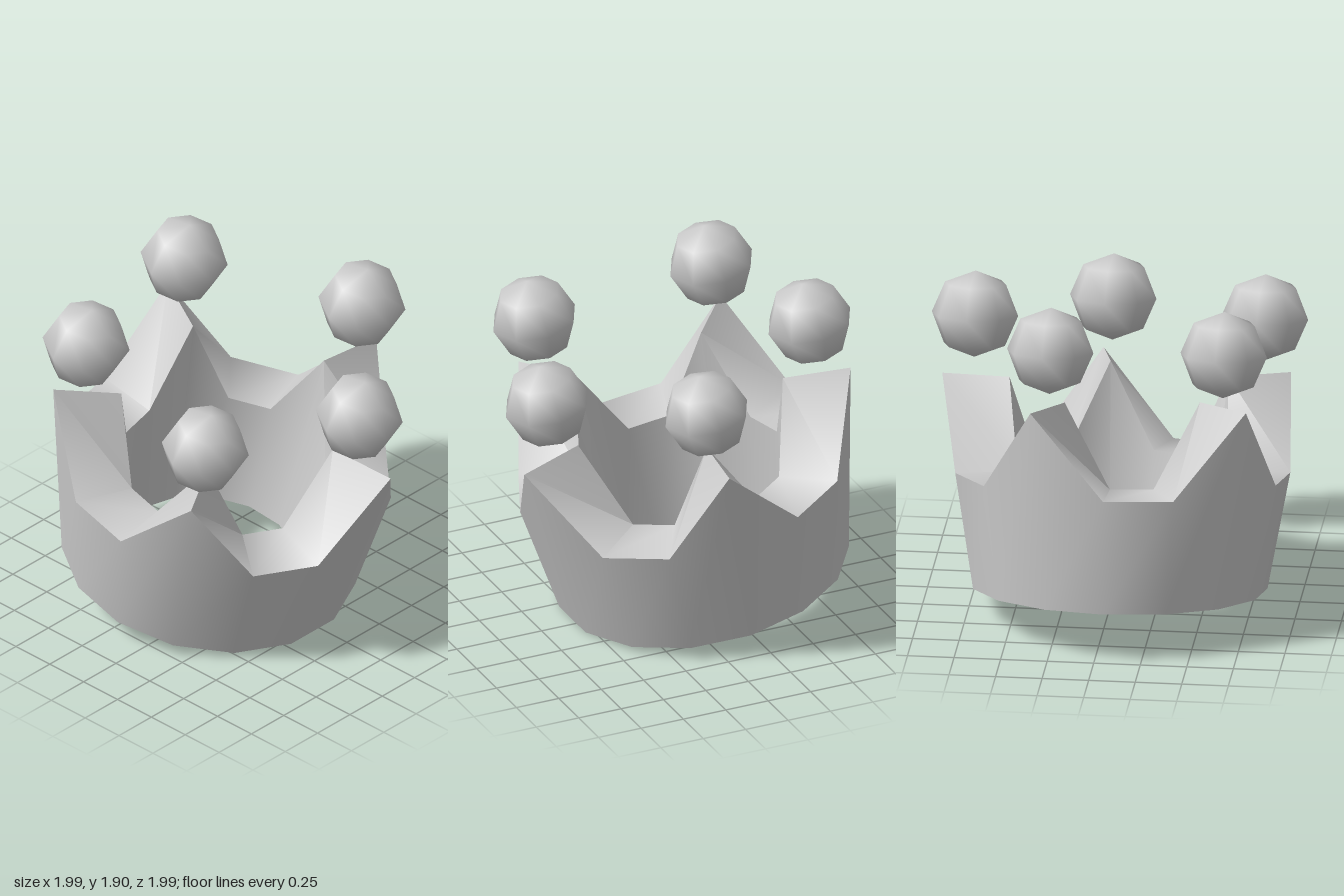
import * as THREE from 'three';
import { toCreasedNormals } from 'three/addons/utils/BufferGeometryUtils.js';

const TILT = 0.18;      // crown leans towards the front
const SIDES = 15;       // three sides per spike
const PEAK = 1.1, VALLEY = 0.635;

// Flared ring with a hollow middle; every third column rises to a peak
function crownGeometry() {
  const pos = [], index = [];
  for (let i = 0; i < SIDES; i++) {
    const a = THREE.MathUtils.degToRad(12 + i * 24);
    const h = i % 3 === 0 ? PEAK : VALLEY;
    const t = h / PEAK;
    const outer = THREE.MathUtils.lerp(0.795, 0.985, t);
    const inner = THREE.MathUtils.lerp(0.49, 0.618, t);
    const section = [[0.795, 0], [outer, h], [inner, h], [0.49, 0]];
    for (const [r, y] of section) pos.push(r * Math.sin(a), y, r * Math.cos(a));
    const next = (i + 1) % SIDES;
    for (let j = 0; j < 4; j++) {
      const k = (j + 1) % 4;
      const p = i * 4 + j, q = next * 4 + j, r = next * 4 + k, s = i * 4 + k;
      index.push(p, q, r, p, r, s);
    }
  }
  const geo = new THREE.BufferGeometry();
  geo.setAttribute('position', new THREE.Float32BufferAttribute(pos, 3));
  geo.setIndex(index);
  // Walls and valleys stay smooth, rims and peaks stay sharp
  return toCreasedNormals(geo, 1.1);
}

export function createModel() {
  const model = new THREE.Group();
  model.name = 'crown';
  const material = new THREE.MeshStandardMaterial({ color: 0xcccccc });

  const band = new THREE.Mesh(crownGeometry(), material);
  band.name = 'crownBand';
  band.position.set(-0.05, 0.142, -0.22);
  band.rotation.x = TILT;
  model.add(band);

  // Balls floating above the spikes
  const ballGeo = new THREE.SphereGeometry(0.235, 8, 4);
  const centres = [
    [0.085, 1.41, 0.76],
    [0.76, 1.53, 0.135],
    [0.265, 1.67, -0.705],
    [-0.65, 1.625, -0.555],
    [-0.765, 1.455, 0.435],
  ];
  centres.forEach((c, i) => {
    const ball = new THREE.Mesh(ballGeo, material);
    ball.name = `spikeBall${i + 1}`;
    ball.position.set(...c);
    ball.rotation.set(TILT, -0.09, 0);
    model.add(ball);
  });
  return model;
}
